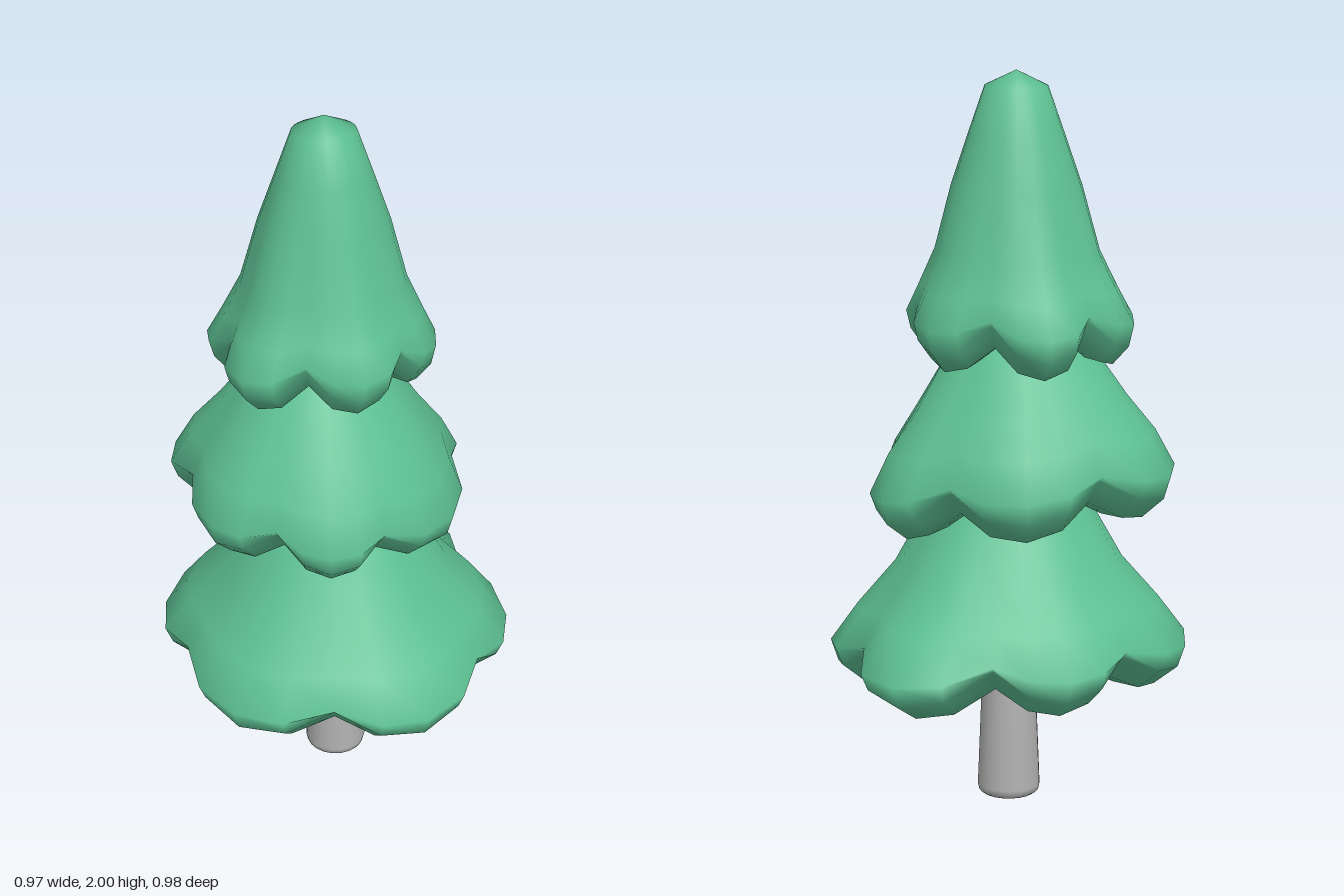
import * as THREE from 'three';
import { mergeVertices } from 'three/addons/utils/BufferGeometryUtils.js';

const foliageGreen = new THREE.MeshStandardMaterial({ color: 0x5dc092 });
foliageGreen.name = 'foliageGreen';
const trunkGrey = new THREE.MeshStandardMaterial({ color: 0xb2b2b2 });
trunkGrey.name = 'trunkGrey';

const LOBE_STEPS = 4;

// Underside shared by all tiers: [share of rim radius, drop below the rim]
const underside = [[0.96, 0.06], [0.83, 0.11], [0.67, 0.1], [0.38, 0.02], [0, -0.02]];

// Rim columns: the radius swells from each notch to the middle of its lobe
function rimColumns({ notchAngles, notchRadius, lobeRadii }) {
  return notchAngles.flatMap((start, k) => {
    const end = k + 1 < notchAngles.length ? notchAngles[k + 1] : notchAngles[0] + 360;
    return Array.from({ length: LOBE_STEPS }, (_, s) => {
      const swell = Math.sin((Math.PI * s) / LOBE_STEPS) ** 0.6;
      return {
        angle: THREE.MathUtils.degToRad(THREE.MathUtils.lerp(start, end, s / LOBE_STEPS)),
        radius: THREE.MathUtils.lerp(notchRadius, lobeRadii[k], swell),
        notch: (1 - swell) ** 0.8,
      };
    });
  });
}

// Lofts one scalloped skirt of foliage into a smooth closed shell
function boughs(name, tier) {
  const [cx, cz] = tier.center;
  const columns = rimColumns(tier);
  const n = columns.length;
  const mean = columns.reduce((sum, c) => sum + c.radius, 0) / n;
  const rimHeight = tier.profile.at(-1)[1];

  // Lobes fade out towards the crown; notches lift the rim and the lower edge
  const rows = [
    ...tier.profile.map(([share, y]) => ({ share, y, lobe: share ** 3, lift: 0.04 * share ** 8 })),
    ...underside.map(([share, drop]) => ({ share, y: rimHeight - drop, lobe: share, lift: 0.09 * share })),
  ];

  const position = [];
  const index = [];
  rows.forEach(({ share, y, lobe, lift }, k) => {
    columns.forEach((column, i) => {
      const r = share * THREE.MathUtils.lerp(mean, column.radius, lobe);
      const dx = r * Math.cos(column.angle);
      const dz = r * Math.sin(column.angle);
      position.push(cx + dx, y + lift * column.notch + tier.tilt[0] * dx + tier.tilt[1] * dz, cz + dz);
      const a = k * n + i;
      const b = k * n + ((i + 1) % n);
      if (k > 0 && k < rows.length - 1) index.push(a, b, a + n);
      if (k < rows.length - 2) index.push(b, b + n, a + n);
    });
  });

  const geometry = new THREE.BufferGeometry();
  geometry.setAttribute('position', new THREE.Float32BufferAttribute(position, 3));
  geometry.setIndex(index);
  const shell = mergeVertices(geometry, 1e-5);
  shell.computeVertexNormals();
  const mesh = new THREE.Mesh(shell, foliageGreen);
  mesh.name = name;
  return mesh;
}

// Slightly tapered trunk with a rounded foot
function trunk() {
  const profile = [[0, 0], [0.072, 0], [0.083, 0.008], [0.087, 0.025], [0.072, 0.4], [0.065, 0.55], [0, 0.55]];
  const points = profile.map(([r, y]) => new THREE.Vector2(r, y));
  const mesh = new THREE.Mesh(new THREE.LatheGeometry(points, 20), trunkGrey);
  mesh.name = 'trunk';
  return mesh;
}

export function createModel() {
  const tree = new THREE.Group();
  tree.name = 'firTree';
  tree.add(trunk());

  // Profiles run from the crown down to the rim: [share of rim radius, height]
  tree.add(boughs('lowerBoughs', {
    center: [0, 0],
    tilt: [-0.02, 0],
    notchAngles: [-78, -24, 41, 103, 169, 233],
    notchRadius: 0.45,
    lobeRadii: [0.56, 0.495, 0.5, 0.5, 0.495, 0.49],
    profile: [[0, 0.95], [0.3, 0.92], [0.49, 0.8], [0.64, 0.67], [0.85, 0.55], [1, 0.445]],
  }));
  tree.add(boughs('middleBoughs', {
    center: [-0.02, -0.06],
    tilt: [-0.075, 0],
    notchAngles: [-54, 0, 76, 122, 178, 241],
    notchRadius: 0.367,
    lobeRadii: [0.434, 0.39, 0.4, 0.41, 0.434, 0.41],
    profile: [[0, 1.38], [0.3, 1.35], [0.51, 1.25], [0.72, 1.12], [0.89, 1.02], [1, 0.915]],
  }));
  tree.add(boughs('upperBoughs', {
    center: [-0.01, -0.085],
    tilt: [0, 0.09],
    notchAngles: [-69, -3, 53, 113, 171, 231],
    notchRadius: 0.265,
    lobeRadii: [0.307, 0.302, 0.314, 0.335, 0.32, 0.327],
    profile: [[0, 2], [0.28, 1.96], [0.42, 1.84], [0.58, 1.7], [0.73, 1.53], [0.88, 1.43], [1, 1.35]],
  }));
  return tree;
}
